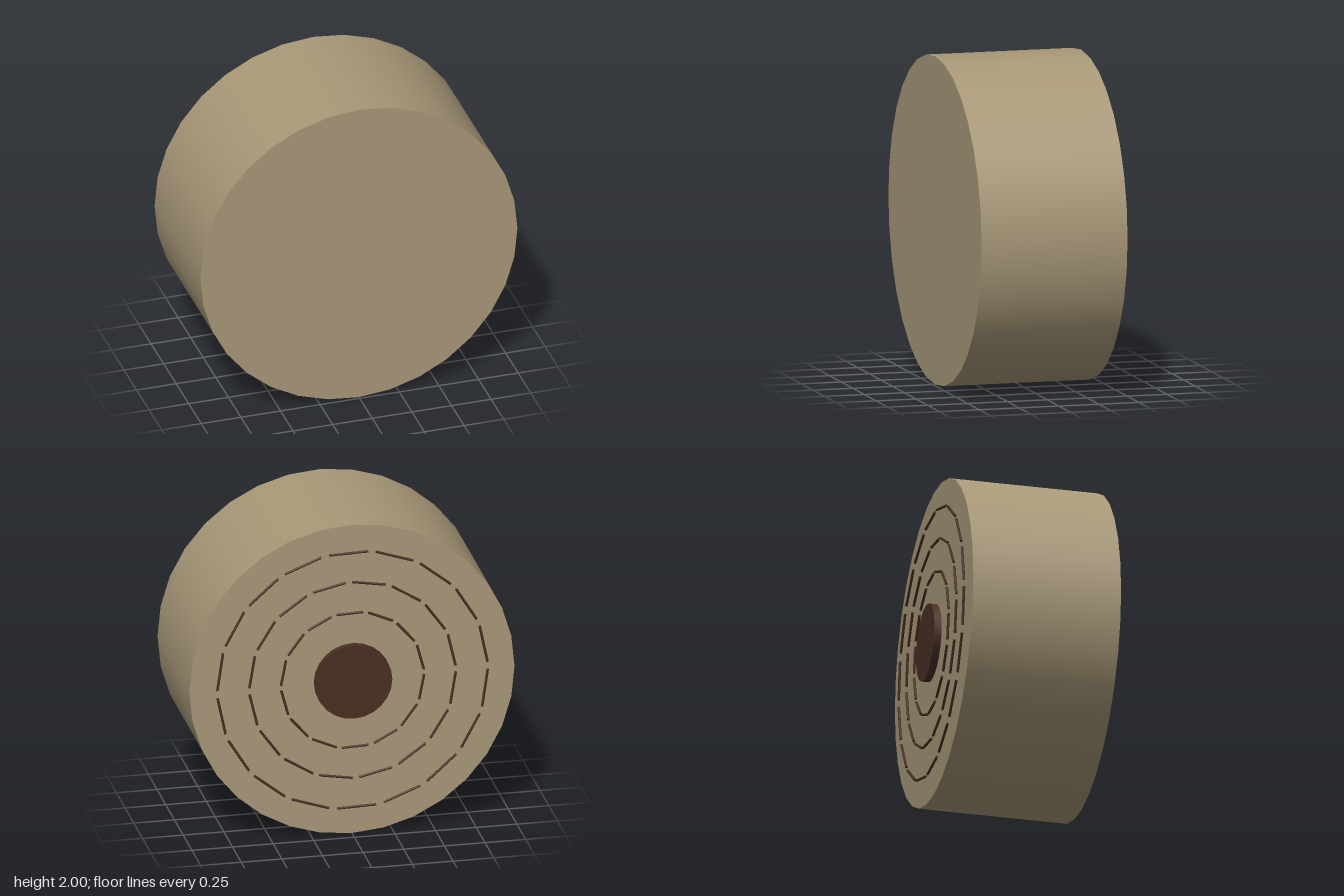
import * as THREE from 'three';

const wood = new THREE.MeshStandardMaterial({ color: 0xa89878 });
const darkWood = new THREE.MeshStandardMaterial({ color: 0x4a2f23 });

// Disc with its axis along z, spanning z0 to z1
function disc(name, radius, z0, z1, sides, material) {
  const geometry = new THREE.CylinderGeometry(radius, radius, z1 - z0, sides);
  geometry.rotateX(Math.PI / 2);
  geometry.translate(0, 1, (z0 + z1) / 2);
  const mesh = new THREE.Mesh(geometry, material);
  mesh.name = name;
  return mesh;
}

// Circle of straight dashes, each filling most of its step
function dashedRing(name, radius, count) {
  const ring = new THREE.Group();
  ring.name = name;
  const step = (2 * Math.PI) / count;
  const arc = step * 0.83;
  const length = 2 * radius * Math.sin(arc / 2);
  const geometry = new THREE.CylinderGeometry(0.008, 0.008, length, 8);
  for (let i = 0; i < count; i++) {
    const angle = i * step + arc / 2;
    const r = radius * Math.cos(arc / 2);
    const dash = new THREE.Mesh(geometry, darkWood);
    dash.name = 'dash';
    dash.position.set(r * Math.cos(angle), r * Math.sin(angle), 0);
    dash.rotation.z = angle;
    ring.add(dash);
  }
  ring.position.set(0, 1, -0.447);
  return ring;
}

export function createModel() {
  const model = new THREE.Group();
  model.name = 'drum';

  // Thick round body and the small disc on its back
  model.add(disc('body', 1, -0.43, 0.485, 32, wood));
  model.add(disc('hub', 0.237, -0.485, -0.441, 24, darkWood));

  // Three dashed rings floating just off the back face
  model.add(dashedRing('innerRing', 0.44, 14));
  model.add(dashedRing('middleRing', 0.635, 16));
  model.add(dashedRing('outerRing', 0.832, 18));

  return model;
}
